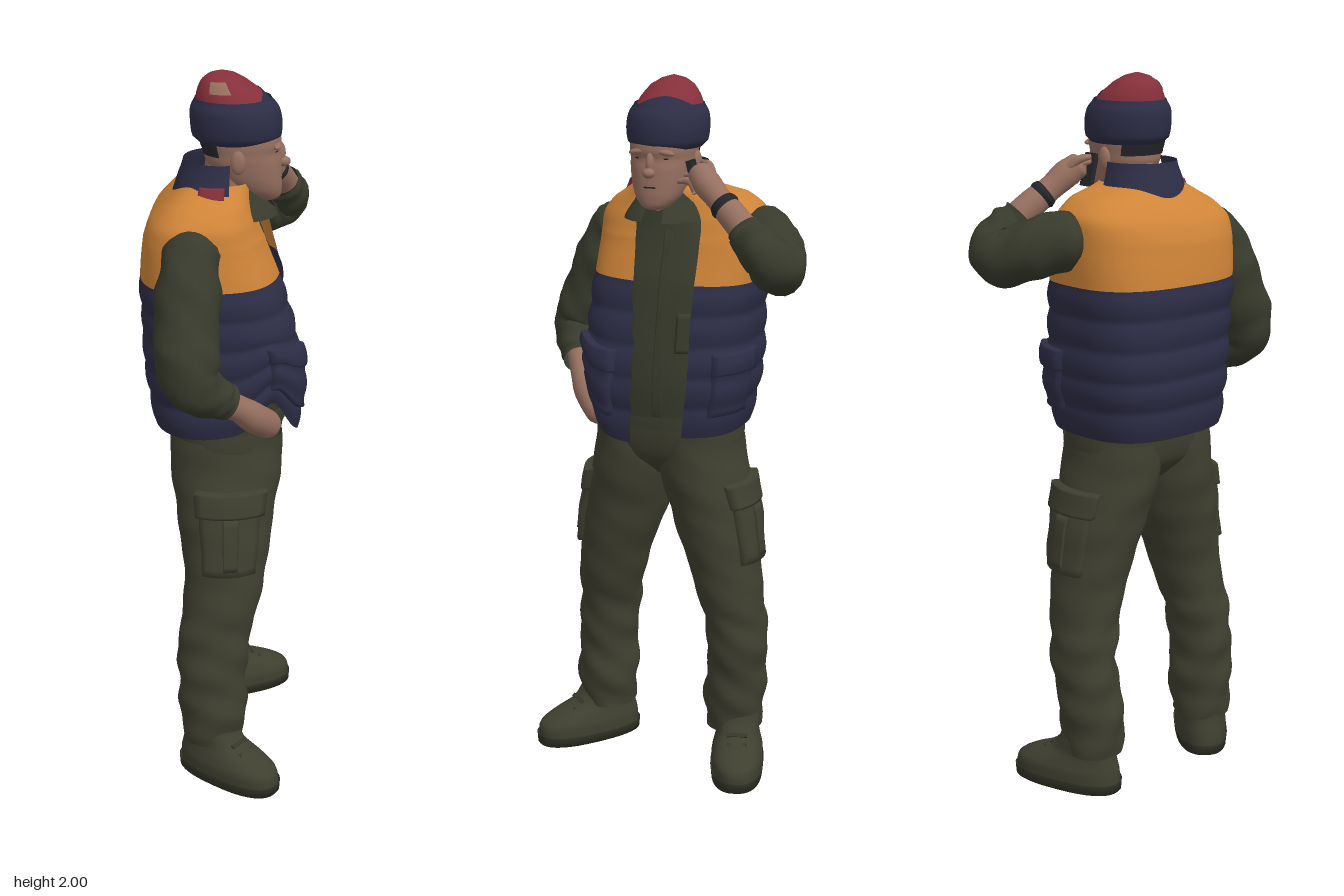
import * as THREE from 'three';
import { mergeVertices } from 'three/addons/utils/BufferGeometryUtils.js';

const mat = (name, color) => {
  const m = new THREE.MeshStandardMaterial({ color, side: THREE.DoubleSide });
  m.name = name;
  return m;
};
const M = {
  trousers: mat('trouser olive', 0x3f3f30),
  shirt: mat('shirt olive', 0x383b2c),
  orange: mat('yoke orange', 0xcf8438),
  navy: mat('vest navy', 0x2d2d46),
  skin: mat('skin', 0x967060),
  red: mat('hat red', 0x86303a),
  dark: mat('dark trim', 0x25262a),
  sole: mat('sole', 0x35362a),
};
const clamp01 = v => THREE.MathUtils.clamp(v, 0, 1);

function mesh(parent, name, geo, material) {
  const m = new THREE.Mesh(geo, material);
  m.name = name;
  parent.add(m);
  return m;
}

// Smooth surface from fn(i 0..1 around, j 0..1 along)
function grid(nu, nv, fn) {
  const pos = [], idx = [];
  for (let j = 0; j <= nv; j++)
    for (let i = 0; i <= nu; i++) pos.push(...fn(i / nu, j / nv));
  for (let j = 0; j < nv; j++)
    for (let i = 0; i < nu; i++) {
      const a = j * (nu + 1) + i, b = a + nu + 1;
      idx.push(a, a + 1, b + 1, a, b + 1, b);
    }
  let g = new THREE.BufferGeometry();
  g.setAttribute('position', new THREE.Float32BufferAttribute(pos, 3));
  g.setIndex(idx);
  g = mergeVertices(g, 1e-5);
  g.computeVertexNormals();
  return g;
}

// Ring rows are [y, centre x, centre z, half width, half depth]
function ringAt(rows, y) {
  let i = 0;
  while (i < rows.length - 2 && y > rows[i + 1][0]) i++;
  const p1 = rows[i], p2 = rows[i + 1], p0 = rows[i - 1] || p1, p3 = rows[i + 2] || p2;
  const f = clamp01((y - p1[0]) / (p2[0] - p1[0]));
  return p1.map((_, k) => k === 0 ? y : p1[k] + 0.5 * f * (p2[k] - p0[k] +
    f * (2 * p0[k] - 5 * p1[k] + 4 * p2[k] - p3[k] + f * (3 * (p1[k] - p2[k]) + p3[k] - p0[k]))));
}

// Surface of a body form; angle 0 is forward, positive towards its left
function form(rows, { n = 2, bump = () => 0, lift = () => 0, twist = () => 0 } = {}) {
  const pw = s => Math.sign(s) * Math.abs(s) ** (2 / n);
  return (phi, y, off = 0) => {
    const [, cx, cz, a, b] = ringAt(rows, y);
    const r = off + bump(phi, y);
    const x = cx + (Math.max(a, 0) + r) * pw(Math.sin(phi));
    return [x, y + lift(phi, y), cz + (Math.max(b, 0) + r) * pw(Math.cos(phi)) + twist(y) * x];
  };
}
const loft = (f, y0, y1, nv = 24, nu = 40) =>
  grid(nu, nv, (i, j) => f(-Math.PI + i * 2 * Math.PI, y0 + j * (y1 - y0)));

// Open wrap between two angles that may vary with height
const wrap = (f, y0, y1, from, to, nv = 24, off = 0) => grid(56, nv, (i, j) => {
  const y = y0 + j * (y1 - y0), a = from(y), b = to(y);
  return f(a + i * (b - a), y, off);
});

// Raised pad lying on a form
const pad = (f, y0, y1, p0, p1, off = 0.014) => grid(12, 12, (i, j) => {
  const edge = i === 0 || i === 1 || j === 0 || j === 1;
  const s = v => clamp01((v - 0.06) / 0.88);
  return f(p0 + s(i) * (p1 - p0), y0 + s(j) * (y1 - y0), edge ? -0.004 : off);
});

// Limb through [x, y, z, radius] points
function limb(points, ref, nv = 28, wrinkle = 0) {
  const curve = new THREE.CatmullRomCurve3(points.map(p => new THREE.Vector3(p[0], p[1], p[2])));
  const R = new THREE.Vector3(...ref), last = points.length - 1;
  return grid(20, nv, (i, j) => {
    const k = Math.min(Math.floor(j * last), last - 1), f = j * last - k;
    let r = points[k][3] + f * f * (3 - 2 * f) * (points[k + 1][3] - points[k][3]);
    const ang = i * 2 * Math.PI;
    if (j > 0.1 && j < 0.98) r += wrinkle * Math.sin(j * 34 + 3 * Math.sin(ang)) * Math.cos(ang * 2 + j * 9);
    const c = curve.getPoint(j), t = curve.getTangent(j);
    const e1 = R.clone().addScaledVector(t, -R.dot(t)).normalize();
    const e2 = t.clone().cross(e1);
    return c.addScaledVector(e1, r * Math.cos(ang)).addScaledVector(e2, r * Math.sin(ang)).toArray();
  });
}

function ball(parent, name, material, p, s, rz = 0) {
  const m = mesh(parent, name, new THREE.SphereGeometry(1, 18, 12), material);
  m.position.set(...p);
  m.scale.set(...s);
  m.rotation.z = rz;
}

function box(parent, name, material, p, s, r = [0, 0, 0]) {
  const m = mesh(parent, name, new THREE.BoxGeometry(...s), material);
  m.position.set(...p);
  m.rotation.set(...r);
}

function buildLegs(body) {
  const hips = form([[0.87, 0, -0.05, 0.03, 0.03], [0.9, 0, -0.05, 0.15, 0.09], [0.96, 0, -0.047, 0.205, 0.145],
    [1.05, 0, -0.045, 0.212, 0.163], [1.12, 0, -0.045, 0.2, 0.16]], { n: 2.3 });
  mesh(body, 'hips', loft(hips, 0.87, 1.12), M.trousers);
  mesh(body, 'belt', wrap(hips, 1.05, 1.085, () => -Math.PI, () => Math.PI, 2, 0.006), M.shirt);
  const crease = (phi, y) => 0.006 * Math.sin(y * 48 + 2.5 * Math.sin(phi)) * Math.cos(phi * 2 + y * 11) * (y < 0.5 ? 1 : 0.4);
  const sides = [
    ['right', -1, [[0.11, -0.22, -0.09, 0.08, 0.085], [0.2, -0.22, -0.09, 0.088, 0.095], [0.4, -0.212, -0.088, 0.085, 0.1],
      [0.6, -0.18, -0.055, 0.1, 0.112], [0.8, -0.13, -0.05, 0.122, 0.137], [0.93, -0.1, -0.046, 0.122, 0.155], [1.02, -0.095, -0.045, 0.115, 0.155]]],
    ['left', 1, [[0.11, 0.195, -0.07, 0.08, 0.085], [0.2, 0.195, -0.072, 0.088, 0.095], [0.4, 0.209, -0.05, 0.085, 0.1],
      [0.6, 0.178, -0.037, 0.1, 0.112], [0.8, 0.134, -0.042, 0.122, 0.137], [0.93, 0.1, -0.046, 0.122, 0.155], [1.02, 0.095, -0.045, 0.115, 0.155]]],
  ];
  for (const [side, s, rows] of sides) {
    const leg = form(rows, { bump: crease });
    mesh(body, side + 'TrouserLeg', loft(leg, 0.11, 1.02, 64), M.trousers);
    mesh(body, side + 'CargoPocket', pad(leg, 0.65, 0.86, s * 1.5 - 0.62, s * 1.5 + 0.62, 0.015), M.trousers);
    mesh(body, side + 'CargoFlap', pad(leg, 0.82, 0.89, s * 1.5 - 0.67, s * 1.5 + 0.67, 0.022), M.trousers);
    mesh(body, side + 'CargoPleat', pad(leg, 0.67, 0.82, s * 1.5 - 0.15, s * 1.5 + 0.15, 0.021), M.trousers);
  }
}

function buildBoot(root, name, x, z, yaw) {
  const g = new THREE.Group();
  g.name = name;
  g.position.set(x, 0, z);
  g.rotation.y = yaw;
  root.add(g);
  const sole = form([[0, 0, 0, 0.075, 0.165], [0.03, 0, 0, 0.078, 0.167]], { n: 2.5 });
  mesh(g, 'sole', grid(36, 4, (i, j) => {
    const p = sole(-Math.PI + i * 2 * Math.PI, [0, 0, 0.03, 0.03, 0.03][Math.round(j * 4)]);
    return j === 0 ? [0, p[1], 0] : p;
  }), M.sole);
  const upper = form([[0.02, 0, 0, 0.074, 0.163], [0.06, 0, -0.002, 0.075, 0.159], [0.085, 0, -0.02, 0.068, 0.135],
    [0.11, 0, -0.05, 0.062, 0.1], [0.15, 0, -0.068, 0.066, 0.082], [0.22, 0, -0.07, 0.06, 0.07]], { n: 2.3 });
  mesh(g, 'upper', loft(upper, 0.02, 0.22), M.trousers);
  for (let k = 0; k < 3; k++) box(g, 'lace', M.sole, [0, 0.1 + k * 0.02, 0.062 - k * 0.026], [0.06, 0.006, 0.012], [0.6, 0, 0]);
}

function buildTorso(body) {
  const twist = y => 0.1 * clamp01((y - 1.3) / 0.25);
  const shirt = form([[1.04, 0, -0.05, 0.2, 0.165], [1.2, 0.005, -0.055, 0.215, 0.18], [1.46, 0.01, -0.072, 0.21, 0.16],
    [1.58, 0.01, -0.08, 0.18, 0.125], [1.64, 0.005, -0.065, 0.125, 0.095], [1.7, 0, -0.04, 0.06, 0.06]], { n: 2.3, twist });
  mesh(body, 'shirt', loft(shirt, 1.04, 1.7), M.shirt);
  mesh(body, 'shirtPlacket', pad(shirt, 1.08, 1.6, 0.03, 0.15, 0.004), M.shirt);
  mesh(body, 'shirtPocket', pad(shirt, 1.27, 1.38, 0.26, 0.6, 0.01), M.shirt);

  // Padded vest, open at the front, hem raised over the pocketed hand, left shoulder lifted
  const vest = form([[1.04, 0, -0.05, 0.22, 0.195], [1.2, 0.01, -0.057, 0.237, 0.21], [1.34, 0.012, -0.068, 0.238, 0.203],
    [1.46, 0.018, -0.084, 0.24, 0.19], [1.57, 0.024, -0.096, 0.24, 0.166], [1.62, 0.024, -0.096, 0.234, 0.147],
    [1.66, 0.018, -0.086, 0.196, 0.122], [1.69, 0.008, -0.072, 0.14, 0.104], [1.715, 0, -0.06, 0.1, 0.092]], {
    n: 2.8, twist,
    bump: (phi, y) => y < 1.46 ? 0.007 * Math.abs(Math.sin((y - 1.04) * Math.PI / 0.084)) - 0.002
      + 0.016 * Math.exp(-(((phi + 0.35) / 0.4) ** 2)) * clamp01((1.4 - y) / 0.2) : 0,
    lift: (phi, y) => (0.1 * Math.exp(-(((phi + 1.0) / 0.35) ** 2)) - 0.025 * Math.exp(-((phi / 0.5) ** 2))) * clamp01(1 - (y - 1.04) / 0.3)
      + 0.025 * Math.max(0, Math.sin(phi)) * clamp01((y - 1.5) / 0.1) * clamp01((1.715 - y) / 0.05),
  });
  const end = y => -0.08 - 0.2 * clamp01((y - 1.3) / 0.35);
  const start = y => 0.36 - 2 * Math.PI - 0.03 * clamp01((y - 1.3) / 0.3);
  mesh(body, 'vestQuilting', wrap(vest, 1.04, 1.46, start, end, 50), M.navy);
  mesh(body, 'vestYoke', wrap(vest, 1.46, 1.715, start, end, 30), M.orange);
  for (const [side, a, b] of [['right', -1.05, -0.27], ['left', 0.7, 1.45]]) {
    mesh(body, side + 'VestPocket', pad(vest, 1.1, 1.25, a, b, 0.01), M.navy);
    mesh(body, side + 'VestPocketFlap', pad(vest, 1.22, 1.28, a - 0.03, b + 0.03, 0.016), M.navy);
  }

  // Collars
  const gap = g => [() => g - 2 * Math.PI, () => -g];
  const collar = form([[1.62, 0, -0.02, 0.118, 0.12], [1.67, 0, -0.03, 0.094, 0.092], [1.71, 0, -0.035, 0.082, 0.08]]);
  mesh(body, 'shirtCollar', wrap(collar, 1.62, 1.71, ...gap(0.25), 8), M.shirt);
  const vestCollar = form([[1.67, 0, -0.065, 0.132, 0.122], [1.72, 0, -0.06, 0.114, 0.112], [1.77, 0, -0.055, 0.1, 0.1]]);
  mesh(body, 'vestCollar', wrap(vestCollar, 1.67, 1.77, ...gap(1.35), 8), M.navy);
  mesh(body, 'collarLining', pad(vestCollar, 1.685, 1.715, -2.05, -1.45, 0.008), M.red);
}

function buildHead(body) {
  const neck = form([[1.6, 0, -0.05, 0.075, 0.075], [1.7, 0, -0.035, 0.068, 0.072], [1.78, 0, -0.02, 0.068, 0.074]]);
  mesh(body, 'neck', loft(neck, 1.6, 1.78, 8), M.skin);
  const head = form([[1.65, 0, 0.055, 0.005, 0.005], [1.658, 0, 0.055, 0.035, 0.045], [1.685, 0, 0.04, 0.06, 0.068],
    [1.72, 0, 0.02, 0.076, 0.088], [1.765, 0, 0.005, 0.085, 0.101], [1.79, 0, 0.001, 0.087, 0.1], [1.815, 0, -0.001, 0.089, 0.107],
    [1.9, 0, -0.01, 0.085, 0.1]], { n: 2.2 });
  mesh(body, 'head', loft(head, 1.65, 1.9, 36), M.skin);
  ball(body, 'noseBridge', M.skin, [0, 1.778, 0.102], [0.012, 0.032, 0.016]);
  ball(body, 'noseTip', M.skin, [0, 1.756, 0.113], [0.017, 0.014, 0.018]);
  ball(body, 'chin', M.skin, [0, 1.672, 0.088], [0.028, 0.018, 0.018]);
  mesh(body, 'mouth', pad(head, 1.715, 1.719, -0.2, 0.2, 0.002), M.dark);
  for (const s of [-1, 1]) {
    ball(body, 'brow', M.skin, [s * 0.036, 1.81, 0.091], [0.03, 0.009, 0.013], -s * 0.15);
    ball(body, 'eye', M.dark, [s * 0.036, 1.793, 0.09], [0.012, 0.003, 0.005]);
    ball(body, 'ear', M.skin, [s * 0.089, 1.775, -0.012], [0.012, 0.032, 0.02]);
  }
  mesh(body, 'hair', wrap(head, 1.785, 1.85, () => -4.1, () => -2.18, 6, 0.004), M.dark);

  // Knitted hat with turned-up band and leaning crown
  const band = form([[1.815, 0.005, -0.01, 0.092, 0.105], [1.83, 0.005, -0.012, 0.107, 0.119], [1.87, 0.005, -0.014, 0.112, 0.122],
    [1.905, 0.005, -0.018, 0.107, 0.117], [1.93, 0.005, -0.022, 0.093, 0.101]]);
  mesh(body, 'hatBand', loft(band, 1.815, 1.93, 16), M.navy);
  const crown = form([[1.91, 0.005, -0.02, 0.094, 0.102], [1.945, 0.006, -0.032, 0.081, 0.086], [1.975, 0.006, -0.045, 0.058, 0.06],
    [1.993, 0.006, -0.05, 0.03, 0.032], [2.0, 0.006, -0.05, 0.001, 0.001]]);
  mesh(body, 'hatCrown', loft(crown, 1.91, 2, 20), M.red);
  // Navy front of the crown, tapering out to both sides
  mesh(body, 'hatFront', grid(24, 6, (i, j) => crown(-0.9 + i * 2.2, 1.92 + j * 0.032 * Math.sin(Math.PI * i), 0.003)), M.navy);
  mesh(body, 'hatPatch', wrap(crown, 1.95, 1.978, () => -2.2, () => -1.5, 6, 0.003), M.skin);
}

function buildArms(root) {
  // Right arm, hand at the trouser pocket
  const refR = [-0.5, 0, 0.8];
  mesh(root, 'rightSleeve', limb([[-0.19, 1.6, 0.02, 0.03], [-0.238, 1.56, 0.045, 0.076], [-0.277, 1.46, 0.068, 0.086], [-0.315, 1.34, 0.1, 0.088],
    [-0.325, 1.25, 0.13, 0.078], [-0.265, 1.2, 0.155, 0.056], [-0.23, 1.18, 0.165, 0.05]], refR, 70, 0.005), M.shirt);
  mesh(root, 'rightForearm', limb([[-0.29, 1.21, 0.145, 0.04], [-0.2, 1.155, 0.17, 0.036], [-0.14, 1.11, 0.174, 0.042],
    [-0.08, 1.07, 0.168, 0.04], [-0.03, 1.035, 0.15, 0.012]], refR, 24), M.skin);

  // Left arm, raised to the ear
  const refL = [0, 0.7, -0.7];
  mesh(root, 'leftSleeve', limb([[0.1, 1.59, -0.2, 0.03], [0.15, 1.585, -0.224, 0.08], [0.235, 1.555, -0.215, 0.08], [0.318, 1.53, -0.19, 0.077],
    [0.35, 1.55, -0.155, 0.065], [0.31, 1.6, -0.118, 0.055], [0.28, 1.63, -0.105, 0.046]], refL, 70, 0.005), M.shirt);
  mesh(root, 'leftForearm', limb([[0.32, 1.595, -0.12, 0.04], [0.25, 1.655, -0.092, 0.039], [0.2, 1.695, -0.072, 0.034],
    [0.16, 1.73, -0.056, 0.038], [0.125, 1.755, -0.05, 0.034], [0.105, 1.768, -0.05, 0.01]], refL, 28), M.skin);
  mesh(root, 'watch', limb([[0.228, 1.672, -0.084, 0.037], [0.22, 1.679, -0.08, 0.041], [0.21, 1.687, -0.076, 0.037]], refL, 6), M.dark);
  for (let k = 0; k < 4; k++)
    mesh(root, 'finger', limb([[0.15 - k * 0.004, 1.752 - k * 0.014, -0.075 + k * 0.014, 0.012],
      [0.118, 1.775 - k * 0.014, -0.078 + k * 0.018, 0.011], [0.09, 1.78 - k * 0.016, -0.07 + k * 0.024, 0.007]], [0, 1, 0.3], 8), M.skin);
  box(root, 'phone', M.dark, [0.096, 1.742, -0.045], [0.014, 0.09, 0.04], [0, Math.PI / 4, 0.25]);
}

export function createModel() {
  const root = new THREE.Group();
  root.name = 'standingMan';
  const body = new THREE.Group();
  body.name = 'body';
  body.rotation.y = Math.PI / 4;
  root.add(body);
  buildLegs(body);
  buildTorso(body);
  buildHead(body);
  buildArms(root);
  buildBoot(root, 'rightBoot', -0.222, 0.158, 0.1);
  buildBoot(root, 'leftBoot', 0.16, -0.165, 1.1);
  return root;
}
